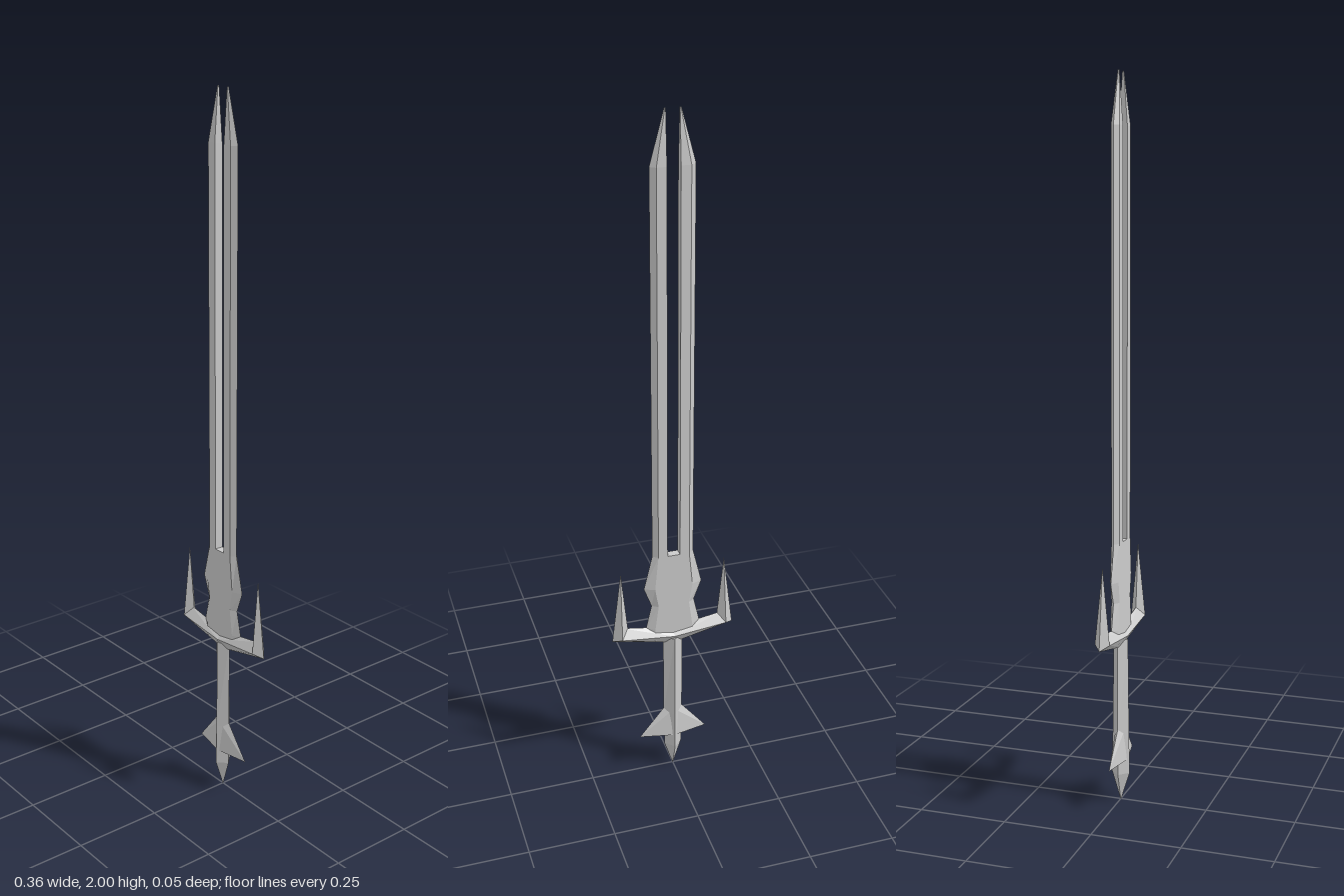
import * as THREE from 'three';
import { ConvexGeometry } from 'three/addons/geometries/ConvexGeometry.js';

const material = new THREE.MeshStandardMaterial({ color: 0xcccccc, flatShading: true });

// Skin between equal-sized rings [y, [[x, z], ...]], each counter-clockwise from above, with capped ends
function loft(rings) {
  const pos = [];
  const n = rings[0][1].length;
  const put = (i, j) => {
    const [y, pts] = rings[i];
    const [x, z] = pts[j % n];
    pos.push(x, y, z);
  };
  for (let i = 0; i < rings.length - 1; i++) {
    for (let j = 0; j < n; j++) {
      put(i, j); put(i, j + 1); put(i + 1, j + 1);
      put(i, j); put(i + 1, j + 1); put(i + 1, j);
    }
  }
  const top = rings.length - 1;
  for (let j = 1; j < n - 1; j++) {
    put(0, 0); put(0, j + 1); put(0, j);
    put(top, 0); put(top, j); put(top, j + 1);
  }
  const g = new THREE.BufferGeometry();
  g.setAttribute('position', new THREE.Float32BufferAttribute(pos, 3));
  g.computeVertexNormals();
  return g;
}

const hull = (pts) => new ConvexGeometry(pts.map((p) => new THREE.Vector3(...p)));

export function createModel() {
  const sword = new THREE.Group();
  sword.name = 'sword';

  const add = (name, geometry, turned = false) => {
    const mesh = new THREE.Mesh(geometry, material);
    mesh.name = name;
    if (turned) mesh.rotation.y = Math.PI;
    sword.add(mesh);
  };
  // Every side part is symmetric in z, so a half turn mirrors it
  const addPair = (name, geometry) => {
    add(name + 'Left', geometry);
    add(name + 'Right', geometry, true);
  };

  // Wavy blade base: bevelled hexagonal section [y, edge x, flat x]
  const t = 0.012;
  const hex = ([y, e, r]) => [y, [[e, 0], [r, -t], [-r, -t], [-e, 0], [-r, t], [r, t]]];
  add('bladeBase', loft([
    [0.47, 0.08, 0.055], [0.51, 0.08, 0.055], [0.585, 0.063, 0.045],
    [0.645, 0.085, 0.055], [0.75, 0.06, 0.045],
  ].map(hex)));

  // Twin blade halves with a slot between them [y, edge x, flat x, inner x, half thickness]
  const half = ([y, e, r, s, d]) => [y, [[r, d], [e, 0], [r, -d], [s, -d], [s, d]]];
  addPair('bladeHalf', loft([
    [0.75, 0.06, 0.045, 0.018, t],
    [1.86, 0.06, 0.045, 0.018, t],
    [2.0, 0.022, 0.02, 0.018, 0.002],
  ].map(half)));

  // Guard arms with a diamond section, rising slightly outward
  const w = 0.021;
  addPair('guardArm', hull([
    [0, 0.5, 0], [0, 0.48, w], [0, 0.48, -w], [0, 0.445, 0],
    [0.15, 0.525, 0], [0.155, 0.497, w], [0.155, 0.497, -w], [0.18, 0.485, 0],
  ]));

  // Upright spikes at the guard ends
  addPair('guardSpike', hull([
    [0.152, 0.71, 0], [0.18, 0.485, 0], [0.155, 0.497, w], [0.155, 0.497, -w], [0.133, 0.515, 0],
  ]));

  // Diamond grip tapering into the pointed pommel [y, half width, half depth]
  const diamond = ([y, x, z]) => [y, [[x, 0], [0, -z], [-x, 0], [0, z]]];
  add('grip', loft([
    [0, 0.001, 0.001], [0.08, 0.026, 0.026], [0.2, 0.028, 0.024], [0.47, 0.029, 0.021],
  ].map(diamond)));

  // Flared fins above the pommel
  addPair('pommelFin', hull([
    [0, 0.12, 0.021], [0, 0.12, -0.021], [0.102, 0.12, 0],
    [0.028, 0.213, 0], [0, 0.213, 0.014], [0, 0.213, -0.014],
  ]));

  return sword;
}
